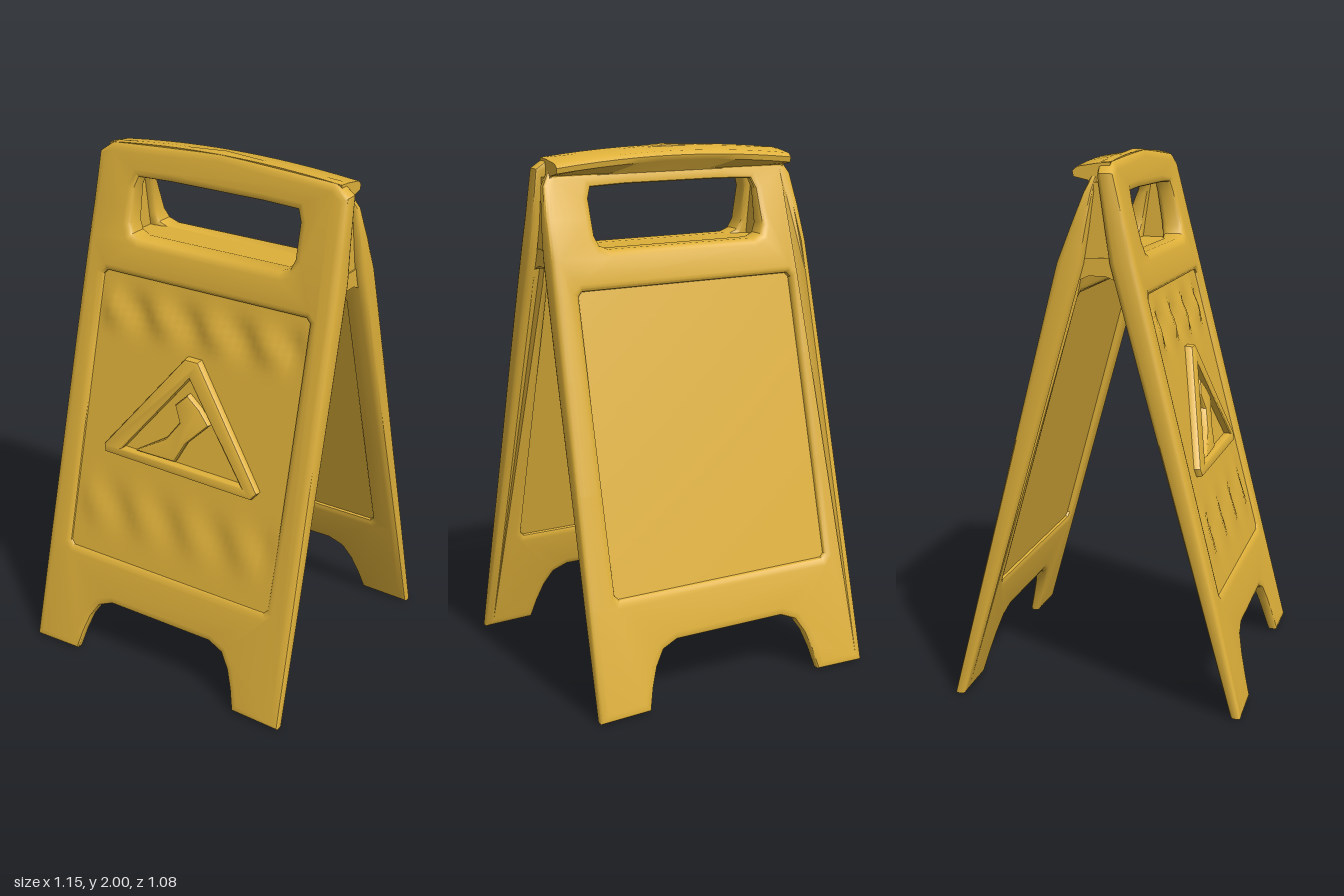
import * as THREE from 'three';
import { toCreasedNormals } from 'three/addons/utils/BufferGeometryUtils.js';

const yellow = new THREE.MeshStandardMaterial({ color: 0xdeb03a });
yellow.name = 'yellow plastic';

// Panel faces as depth z for a height y (the leaf leans and thickens upwards).
const outerZ = (y, back) => back && y > 1.62
  ? THREE.MathUtils.mapLinear(y, 1.62, 1.9, 0.144, 0.035)
  : 0.545 - 0.2475 * y;
const innerZ = (y) => y < 1.62
  ? 0.5 - 0.28 * y
  : THREE.MathUtils.mapLinear(y, 1.62, 2, 0.046, -0.01);

// Leans a flat geometry: z = 0 lands on the inner face, z = 1 on the outer face.
function lean(geo, back = false) {
  const p = geo.attributes.position;
  for (let i = 0; i < p.count; i++) {
    const y = p.getY(i);
    p.setZ(i, THREE.MathUtils.lerp(innerZ(y), outerZ(y, back), p.getZ(i)));
  }
  return back ? geo.rotateY(Math.PI) : geo;
}

function part(name, geo, crease = 0.6) {
  const mesh = new THREE.Mesh(toCreasedNormals(geo, crease), yellow);
  mesh.name = name;
  return mesh;
}

const toPoints = (list) => list.map(([x, y]) => new THREE.Vector2(x, y));
// Closes a right-hand outline with its mirror image.
const mirrored = (half) => toPoints([
  ...half,
  ...half.filter(([x]) => x !== 0).reverse().map(([x, y]) => [-x, y]),
]);

// Rounded frame with a handle opening, a panel window and two feet.
function frameGeometry(back) {
  const top = back
    ? [[0.53, 1.87], [0.5, 1.92], [0, 1.94]]
    : [[0.537, 1.93], [0.48, 1.97], [0.25, 1.985], [0, 2]];
  const shape = new THREE.Shape(mirrored([
    [0.23, 0.24], [0.29, 0.215], [0.325, 0.16], [0.35, 0.09], [0.37, 0.01],
    [0.575, 0.005], [0.57, 0.4], [0.563, 0.8], [0.557, 1.2], [0.551, 1.5], [0.548, 1.62],
    [0.542, 1.75], ...top,
  ]));
  shape.holes.push(
    new THREE.Path(mirrored([
      [0.31, 1.64], [0.345, 1.655], [0.36, 1.69], [0.36, 1.75], [0.36, 1.82], [0.345, 1.86],
      [0.2, 1.865],
    ])),
    new THREE.Path(mirrored([
      [0.445, 0.42], [0.46, 0.435], [0.459, 0.8], [0.457, 1.2], [0.455, 1.485], [0.44, 1.5],
    ])),
  );
  const geo = new THREE.ExtrudeGeometry(shape, {
    depth: 0.5, bevelThickness: 0.25, bevelSize: 0.028, bevelOffset: -0.028, bevelSegments: 3,
  });
  return lean(geo.translate(0, 0, 0.25), back);
}

// Thin sheet filling the window, from t0 to t1 of the frame thickness.
function sheetGeometry(t0, t1, back, ripple = 0) {
  const geo = new THREE.BoxGeometry(0.95, 1.13, t1 - t0, 32, 40, 1);
  geo.translate(0, 0.96, (t0 + t1) / 2);
  const p = geo.attributes.position;
  for (let i = 0; i < p.count; i++) {
    const x = p.getX(i), y = p.getY(i);
    if (p.getZ(i) < t1 - 0.01) continue;
    const band = Math.exp(-(((y - 1.37) / 0.06) ** 2)) + 0.8 * Math.exp(-(((y - 0.62) / 0.08) ** 2));
    const edge = Math.abs(x) < 0.42 ? 1 : 0;
    p.setZ(i, t1 + ripple * edge * band * Math.sin(x * 27 + y * 9));
  }
  return lean(geo, back);
}

// Raised relief on the outer face of the front leaf.
function reliefGeometry(outline, hole, height) {
  const shape = new THREE.Shape(toPoints(outline));
  if (hole) shape.holes.push(new THREE.Path(toPoints(hole)));
  const geo = new THREE.ExtrudeGeometry(shape, {
    depth: 0.3, bevelThickness: height, bevelSize: 0.012, bevelOffset: -0.012, bevelSegments: 2,
  });
  return lean(geo.translate(0, 0, 0.7));
}

// Profile in the z-y plane swept across x.
function crossBar(profile, width, x = 0, steps = 1) {
  const shape = new THREE.Shape(profile.map(([z, y]) => new THREE.Vector2(-z, y)));
  const geo = new THREE.ExtrudeGeometry(shape, { depth: width, steps, bevelEnabled: false });
  return geo.translate(0, 0, -width / 2).rotateY(Math.PI / 2).translate(x, 0, 0);
}

export function createModel() {
  const model = new THREE.Group();
  model.name = 'foldingFloorSign';

  // Front leaf
  const front = new THREE.Group();
  front.name = 'frontLeaf';
  front.add(part('frontFrame', frameGeometry(false)));
  front.add(part('frontSheet', sheetGeometry(0.3, 0.8, false, 0.2), 0.9));

  // Warning triangle with a simple tumbling figure
  front.add(part('warningTriangle', reliefGeometry(
    [[-0.34, 0.83], [0.33, 0.82], [0.355, 0.85], [0.03, 1.26], [-0.03, 1.26], [-0.35, 0.86]],
    [[-0.26, 0.865], [0, 1.19], [0.28, 0.86]], 0.16)));
  front.add(part('figureBody', reliefGeometry(
    [[-0.2, 0.87], [-0.02, 0.87], [0.02, 0.95], [0.11, 1.04], [0.06, 1.09], [0.0, 1.13],
      [-0.05, 1.08], [-0.02, 1.02], [-0.07, 0.95]], null, 0.1)));
  model.add(front);

  // Back leaf, plain recessed sheet
  const back = new THREE.Group();
  back.name = 'backLeaf';
  back.add(part('backFrame', frameGeometry(true)));
  back.add(part('backSheet', sheetGeometry(0.3, 0.7, true)));
  model.add(back);

  // Handle cap folding over the back leaf, arched across its width
  const cap = crossBar([
    [0.045, 1.995], [0.0, 1.992], [-0.075, 1.98], [-0.092, 1.965], [-0.088, 1.945],
    [-0.035, 1.905], [-0.03, 1.875], [0.03, 1.875],
  ], 1.0, 0, 12);
  const p = cap.attributes.position;
  for (let i = 0; i < p.count; i++) {
    const y = p.getY(i), bow = (p.getX(i) / 0.5) ** 2;
    if (y > 1.92) p.setY(i, y - 0.028 * bow);
  }
  model.add(part('handleCap', cap, 0.8));

  // Hinge bar under the handle, and gussets between the posts
  model.add(part('hingeBar', crossBar([
    [0.09, 1.638], [-0.09, 1.638], [-0.085, 1.6], [-0.065, 1.56], [-0.03, 1.575],
    [0.03, 1.575], [0.065, 1.56], [0.085, 1.6],
  ], 1.04)));
  for (const side of [1, -1]) {
    model.add(part('hingeGusset', crossBar([
      [0.06, 1.6], [0.015, 1.9], [-0.015, 1.9], [-0.06, 1.6],
    ], 0.13, side * 0.45)));
  }
  return model;
}
